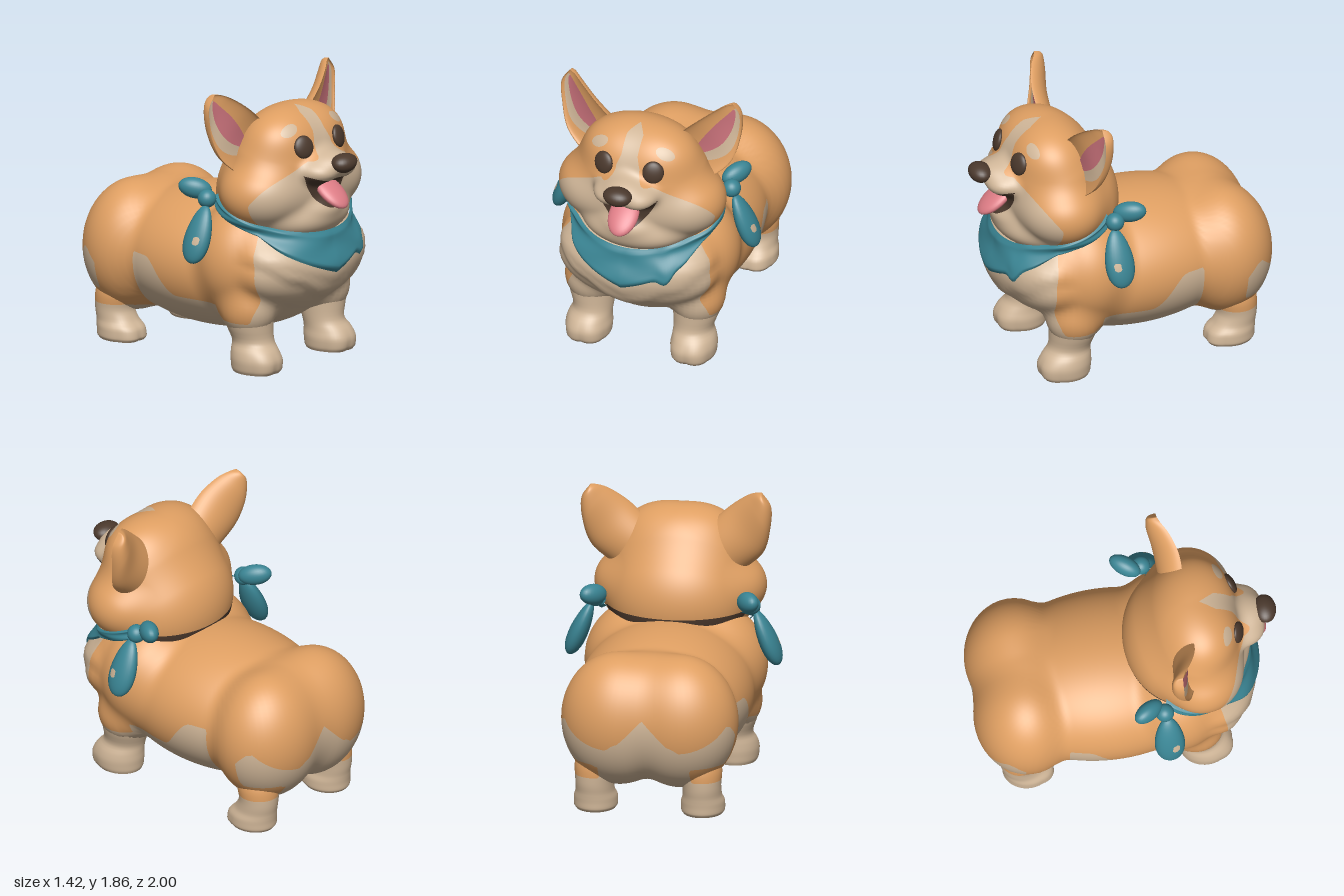
import * as THREE from 'three';
import { mergeVertices } from 'three/addons/utils/BufferGeometryUtils.js';

const { max, min, abs, sin, cos, hypot, PI } = Math;
const smooth = (a, b, t) => THREE.MathUtils.smoothstep(t, a, b);
const V = (...p) => new THREE.Vector3(...p);

const material = (name, color) => new THREE.MeshStandardMaterial({ name, color });
const orange = material('orange fur', 0xdf9f62);
const cream = material('cream fur', 0xd0b698);
const brown = material('dark brown', 0x4b392d);
const teal = material('teal cloth', 0x3a8594);
const earPink = material('ear pink', 0xc8717a);
const tonguePink = material('tongue pink', 0xdd7c85);

// Blends ellipsoids [x, y, z, rx, ry, rz] into one soft form; those off-centre are mirrored
function softForm(blobs, k, bump = () => 0) {
  const all = blobs.flatMap(b => (b[0] ? [b, [-b[0], ...b.slice(1)]] : [b]));
  return (x, y, z) => {
    let d = 10;
    for (const [cx, cy, cz, rx, ry, rz] of all) {
      const px = (x - cx) / rx, py = (y - cy) / ry, pz = (z - cz) / rz;
      const k0 = hypot(px, py, pz), k1 = hypot(px / rx, py / ry, pz / rz) + 1e-9;
      d = softMin(d, k0 * (k0 - 1) / k1, k);
    }
    return d - bump(x, y, z);
  };
}
function softMin(a, b, k) {
  const h = max(k - abs(a - b), 0) / k;
  return min(a, b) - h * h * k / 4;
}

// Walks inwards along a ray until it meets the form
function trace(form, o, d, far) {
  let t = far;
  for (let i = 0; i < 60; i++) t -= 0.85 * form(o.x + d.x * t, o.y + d.y * t, o.z + d.z * t);
  return t;
}

// Sphere whose vertices are moved onto the form
function mould(form, centre, nu, nv) {
  let geo = new THREE.SphereGeometry(1, nu, nv);
  geo.deleteAttribute('uv');
  geo.deleteAttribute('normal');
  geo = mergeVertices(geo);
  const pos = geo.attributes.position, d = V();
  for (let i = 0; i < pos.count; i++) {
    d.fromBufferAttribute(pos, i).normalize();
    d.multiplyScalar(trace(form, centre, d, 1.3)).add(centre);
    pos.setXYZ(i, d.x, d.y, d.z);
  }
  geo.computeVertexNormals();
  return geo;
}

// Surface from a function of u (around) and v (along)
function grid(nu, nv, fn) {
  const p = [], idx = [], w = nu + 1;
  for (let j = 0; j <= nv; j++) for (let i = 0; i <= nu; i++) p.push(...fn(i / nu, j / nv));
  for (let j = 0; j < nv; j++) for (let i = 0; i < nu; i++) {
    const a = j * w + i;
    idx.push(a, a + 1, a + w + 1, a, a + w + 1, a + w);
  }
  let geo = new THREE.BufferGeometry();
  geo.setAttribute('position', new THREE.Float32BufferAttribute(p, 3));
  geo.setIndex(idx);
  geo = mergeVertices(geo, 1e-5);
  geo.computeVertexNormals();
  return geo;
}

// Rotated ellipsoid, optionally narrower towards its top
function ball([x, y, z], [rx, ry, rz], [ax, ay, az] = [0, 0, 0], taper = 0) {
  const geo = new THREE.SphereGeometry(1, 28, 18), pos = geo.attributes.position;
  for (let i = 0; i < pos.count; i++) {
    const s = 1 - taper * pos.getY(i);
    pos.setX(i, pos.getX(i) * s).setZ(i, pos.getZ(i) * s);
  }
  return geo.scale(rx, ry, rz).rotateX(ax).rotateY(ay).rotateZ(az).translate(x, y, z);
}

function mirrored(geo) {
  const g = geo.clone().scale(-1, 1, 1), ix = g.index;
  for (let i = 0; i < ix.count; i += 3) {
    const b = ix.getX(i + 1);
    ix.setX(i + 1, ix.getX(i + 2)).setX(i + 2, b);
  }
  return g;
}

// Cuts faces along each marking's outline (rule > 0 is inside) and colours them
function paint(geo, base, layers) {
  const P = geo.attributes.position, N = geo.attributes.normal;
  let faces = [];
  for (let i = 0; i < geo.index.count; i += 3) {
    faces.push({ mat: base, v: [0, 1, 2].map(j => {
      const k = geo.index.getX(i + j);
      return [P.getX(k), P.getY(k), P.getZ(k), N.getX(k), N.getY(k), N.getZ(k)];
    }) });
  }
  const clip = (v, d, s, mat) => {
    const poly = [];
    v.forEach((p, i) => {
      const j = (i + 1) % 3, t = d[i] / (d[i] - d[j]);
      if (d[i] * s > 0) poly.push(p);
      if (d[i] * d[j] < 0) poly.push(p.map((c, n) => c + (v[j][n] - c) * t));
    });
    return poly.slice(2).map((p, i) => ({ mat, v: [poly[0], poly[i + 1], p] }));
  };
  for (const [mat, rule] of layers) {
    faces = faces.flatMap(({ mat: old, v }) => {
      const d = v.map(p => rule(p[0], p[1], p[2]) || 1e-9);
      return [...clip(v, d, 1, mat), ...clip(v, d, -1, old)];
    });
  }
  const mats = [...new Set(faces.map(f => f.mat))], out = new THREE.BufferGeometry(), p = [], n = [];
  mats.forEach((m, k) => {
    const start = p.length / 3;
    for (const f of faces) if (f.mat === m) for (const c of f.v) { p.push(c[0], c[1], c[2]); n.push(c[3], c[4], c[5]); }
    out.addGroup(start, p.length / 3 - start, k);
  });
  out.setAttribute('position', new THREE.Float32BufferAttribute(p, 3));
  out.setAttribute('normal', new THREE.Float32BufferAttribute(n, 3));
  return new THREE.Mesh(out, mats);
}

// Fur markings
function bodyCream(x, y, z) {
  const ax = abs(x);
  const chest = min(z - 0.25, max(z - 0.61 + 0.7 * (y - 0.66) ** 2, 0.34 - y, min(0.36 - ax, 0.5 - y)));
  const belly = min(0.43 + 0.23 * smooth(0.05, 0.3, -z) - y, z + 0.42, 0.27 - z);
  const rumpTop = 0.64 - abs(z + 0.81) + 0.9 * max(0, 0.22 - ax);
  const rump = min(-0.71 - z, rumpTop - y, max(y - 0.35, 0.3 - ax));
  return max(chest, belly, min(-0.4 - z, max(rump, 0.24 - y, min(0.22 - ax, 0.5 - y))));
}
function faceCream(x, y, z) {
  const ax = abs(x);
  const cheeks = z - 0.57 - 0.75 * max(0, y - 1.15);
  const blaze = min(0.055 * min(1, (z - 0.5) / 0.1) + 0.35 * max(0, 1.58 - y) - ax, z - 0.45);
  const brow = min(0.03 * (1 - hypot((ax - 0.225) / 0.06, (y - 1.605 + 0.35 * (ax - 0.225)) / 0.03)), z - 0.4);
  return max(cheeks, blaze, brow);
}
const eyeRim = (x, y, z) => min(0.09 - hypot(abs(x) - 0.17, y - 1.5), z - 0.5);
const mouth = (x, y, z) => min(1.275 + x * x - y, y - 1.08 - 5 * x * x, z - 0.66);
const collarShade = (x, y, z) => min(1.06 - y, 0.3 - z);

export function createModel() {
  const model = new THREE.Group();
  const add = (name, geo, mat, layers) => {
    const mesh = layers ? paint(geo, mat, layers) : new THREE.Mesh(geo, mat);
    mesh.name = name;
    model.add(mesh);
  };
  const addPair = (name, geo, mat, layers) => {
    add('left ' + name, geo, mat, layers);
    add('right ' + name, mirrored(geo), mat, layers);
  };

  // Body: torso, shoulders, chest, haunches, rump and upper legs, with tiers of chest fluff
  const fluff = (x, y, z) => smooth(0.45, 0.6, z) * (
    0.025 * smooth(0, 0.06, y - 0.43 - 0.55 * abs(x) - 0.012 * cos(x * 26)) +
    0.012 * smooth(0, 0.06, y - 0.56 - 0.4 * abs(x)));
  const body = softForm([
    [0, 0.6, -0.1, 0.565, 0.455, 0.83], [0.2, 0.7, 0.31, 0.395, 0.4, 0.34],
    [0, 0.67, 0.56, 0.53, 0.27, 0.265], [0.2, 0.6, -0.66, 0.375, 0.435, 0.335],
    [0, 0.63, -0.63, 0.4, 0.395, 0.32], [0.36, 0.42, 0.42, 0.18, 0.2, 0.19]], 0.06, fluff);
  add('body', mould(body, V(0, 0.62, -0.1), 140, 96), orange, [[cream, bodyCream]]);

  // Head: cranium, forehead, neck, cheeks, muzzle, lips, chin and throat
  const head = softForm([
    [0, 1.3, 0.46, 0.45, 0.41, 0.325], [0.12, 1.5, 0.5, 0.25, 0.19, 0.215], [0, 1.12, 0.39, 0.46, 0.42, 0.385],
    [0.25, 1.18, 0.47, 0.31, 0.24, 0.28], [0, 1.38, 0.76, 0.13, 0.085, 0.17],
    [0.09, 1.335, 0.76, 0.125, 0.08, 0.15], [0, 1.07, 0.66, 0.19, 0.1, 0.18],
    [0, 1.0, 0.6, 0.34, 0.14, 0.22]], 0.055);
  add('head', mould(head, V(0, 1.28, 0.45), 140, 100), orange,
    [[cream, faceCream], [orange, eyeRim], [brown, mouth], [brown, collarShade]]);

  // Face parts
  const eyeZ = trace(head, V(0.17, 1.5, 0), V(0, 0, 1), 1.2);
  addPair('eye', ball([0.17, 1.5, eyeZ], [0.07, 0.075, 0.03], [-0.25, 0.32, 0]), brown);
  add('nose', ball([0, 1.393, 0.927], [0.095, 0.063, 0.073], [0, 0, 0], -0.15), brown);
  add('tongue', ball([0, 1.185, 0.815], [0.1, 0.045, 0.15], [0.65, 0, 0]), tonguePink);

  // Ears: cupped shells between an inner and an outer edge curve
  const inner = new THREE.CatmullRomCurve3([V(0.2, 1.6, 0.43), V(0.34, 1.73, 0.42), V(0.46, 1.82, 0.37), V(0.52, 1.85, 0.33), V(0.56, 1.858, 0.31)]);
  const outer = new THREE.CatmullRomCurve3([V(0.43, 1.31, 0.41), V(0.56, 1.44, 0.36), V(0.61, 1.6, 0.32), V(0.618, 1.77, 0.31), V(0.56, 1.858, 0.31)]);
  const earPoint = (a, v, lift = 0) => {
    const p = inner.getPoint(v).lerp(outer.getPoint(v), (1 + cos(a)) / 2);
    const depth = 0.14 * (1 - v) ** 0.45, s = sin(a);
    return [p.x, p.y, p.z - depth * (s > 0 ? s : -0.35 * s) + lift];
  };
  const earPanel = (s0, s1, v0, v1, lift) => grid(16, 24, (u, v) => {
    const w = sin(PI * v) ** 0.5, mid = (s0 + s1) / 2;
    return earPoint(-Math.acos(mid + (u - 0.5) * (s1 - s0) * w), v0 + (v1 - v0) * v, lift);
  });
  addPair('ear', grid(48, 28, (u, v) => earPoint(u * 2 * PI, v)), orange);
  addPair('ear lining', earPanel(-0.3, 0.78, 0.03, 0.84, 0.004), cream);
  addPair('inner ear', earPanel(-0.42, 0.34, 0.04, 0.76, 0.008), earPink);

  // Legs: rings of [y, x, z, radius x, radius z], with toes at the front of the paw
  const leg = (name, rings) => {
    const centres = new THREE.CatmullRomCurve3(rings.map(([y, x, z]) => V(x, y, z)));
    const radii = new THREE.CatmullRomCurve3(rings.map(r => V(r[3], 0, r[4])));
    addPair(name, grid(48, 24, (u, v) => {
      const c = centres.getPoint(v), r = radii.getPoint(v), a = u * 2 * PI;
      const facing = Math.atan2(cos(a), -sin(a)), low = max(0, 1 - c.y / 0.18);
      const toe = 1 + 0.1 * low * (abs(facing) < PI / 3 ? abs(sin(3 * facing)) - 0.5 : -0.5);
      return [c.x + r.x * cos(a) * toe, max(0, c.y), c.z - r.z * sin(a) * toe];
    }), orange, [[cream, bodyCream]]);
    const [, x, z, rx, rz] = rings[0];
    addPair(name + ' pad', new THREE.CircleGeometry(1, 40).scale(rx, rz, 1).rotateX(PI / 2).translate(x, 0, z), brown);
  };
  leg('front leg', [[0, 0.36, 0.48, 0.14, 0.16], [0.025, 0.36, 0.485, 0.152, 0.174], [0.08, 0.36, 0.487, 0.155, 0.178],
    [0.14, 0.358, 0.475, 0.143, 0.163], [0.2, 0.345, 0.45, 0.13, 0.14], [0.3, 0.355, 0.43, 0.15, 0.155],
    [0.42, 0.36, 0.42, 0.165, 0.165], [0.52, 0.34, 0.4, 0.12, 0.12]]);
  leg('hind leg', [[0, 0.35, -0.67, 0.135, 0.155], [0.025, 0.35, -0.67, 0.148, 0.17], [0.08, 0.35, -0.675, 0.145, 0.165],
    [0.13, 0.35, -0.7, 0.128, 0.142], [0.2, 0.35, -0.72, 0.125, 0.13], [0.3, 0.34, -0.71, 0.14, 0.14], [0.4, 0.33, -0.7, 0.12, 0.12]]);

  // Bandana draped over chest and throat, with a fold on its left
  const drape = (x, y, z) => softMin(body(x, y, z), head(x, y, z), 0.12);
  add('bandana', grid(96, 18, (u, v) => {
    const a = (u * 2 - 1) * 1.92, top = 0.93 + 0.06 * a * a;
    const drop = 0.08 + 0.2 * max(0, 1 - abs(a) / 1.15) ** 0.9 + 0.06 * Math.exp(-(((a - 0.58) / 0.09) ** 2));
    const y = top - drop * (1 - v), edge = min(1, 8 * min(v, 1 - v));
    const r = trace(drape, V(0, y, 0.38), V(sin(a), 0, cos(a)), 1) + edge * (0.022 + 0.005 * sin(7 * abs(a) + 8 * v));
    return [sin(a) * r, y, 0.38 + cos(a) * r];
  }), teal);

  // Bandana knots and loose ends
  addPair('knot', ball([0.51, 1.13, 0.2], [0.06, 0.06, 0.06]), teal);
  addPair('upper knot end', ball([0.505, 1.18, 0.095], [0.06, 0.068, 0.11], [0.2, -0.6, 0]), teal);
  addPair('hanging knot end', ball([0.61, 0.915, 0.215], [0.06, 0.195, 0.095], [0, 0, 0.4], 0.25), teal,
    [[cream, (x, y, z) => min(0.028 - hypot(y - 0.89, z - 0.25), abs(x) - 0.6)]]);
  return model;
}
